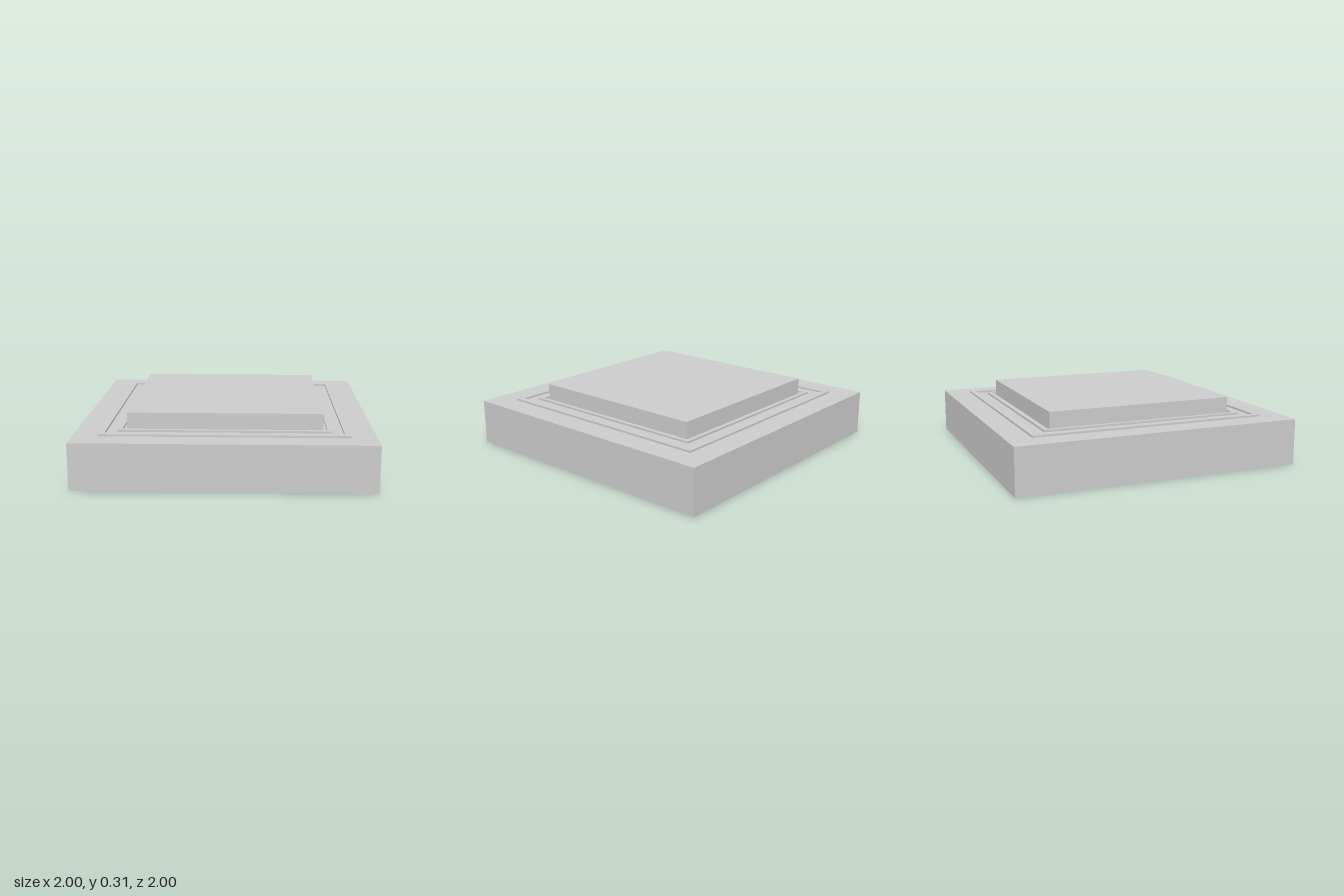
import * as THREE from 'three';

const material = new THREE.MeshStandardMaterial({ color: 0xcccccc, flatShading: true });

// Square outline whose corners lie on the axes at radius r
function diamond(PathType, r) {
  const path = new PathType();
  path.moveTo(r, 0);
  path.lineTo(0, r);
  path.lineTo(-r, 0);
  path.lineTo(0, -r);
  path.closePath();
  return path;
}

// Upright diamond prism from y0 to y1, hollow when an inner radius is given
function prism(name, outer, inner, y0, y1) {
  const shape = diamond(THREE.Shape, outer);
  if (inner) shape.holes.push(diamond(THREE.Path, inner));
  const geometry = new THREE.ExtrudeGeometry(shape, { depth: y1 - y0, bevelEnabled: false });
  geometry.rotateX(-Math.PI / 2);
  geometry.translate(0, y0, 0);
  const mesh = new THREE.Mesh(geometry, material);
  mesh.name = name;
  return mesh;
}

export function createModel() {
  const group = new THREE.Group();
  group.name = 'steppedPlinth';

  const baseTop = 0.226;
  const trimTop = 0.236;

  // Thick square base
  group.add(prism('base', 1, 0, 0, baseTop));

  // Two thin raised borders around the slab
  group.add(prism('outerTrim', 0.83, 0.79, baseTop, trimTop));
  group.add(prism('innerTrim', 0.715, 0.685, baseTop, trimTop));

  // Raised central slab
  group.add(prism('topSlab', 0.66, 0, baseTop, 0.31));

  return group;
}
